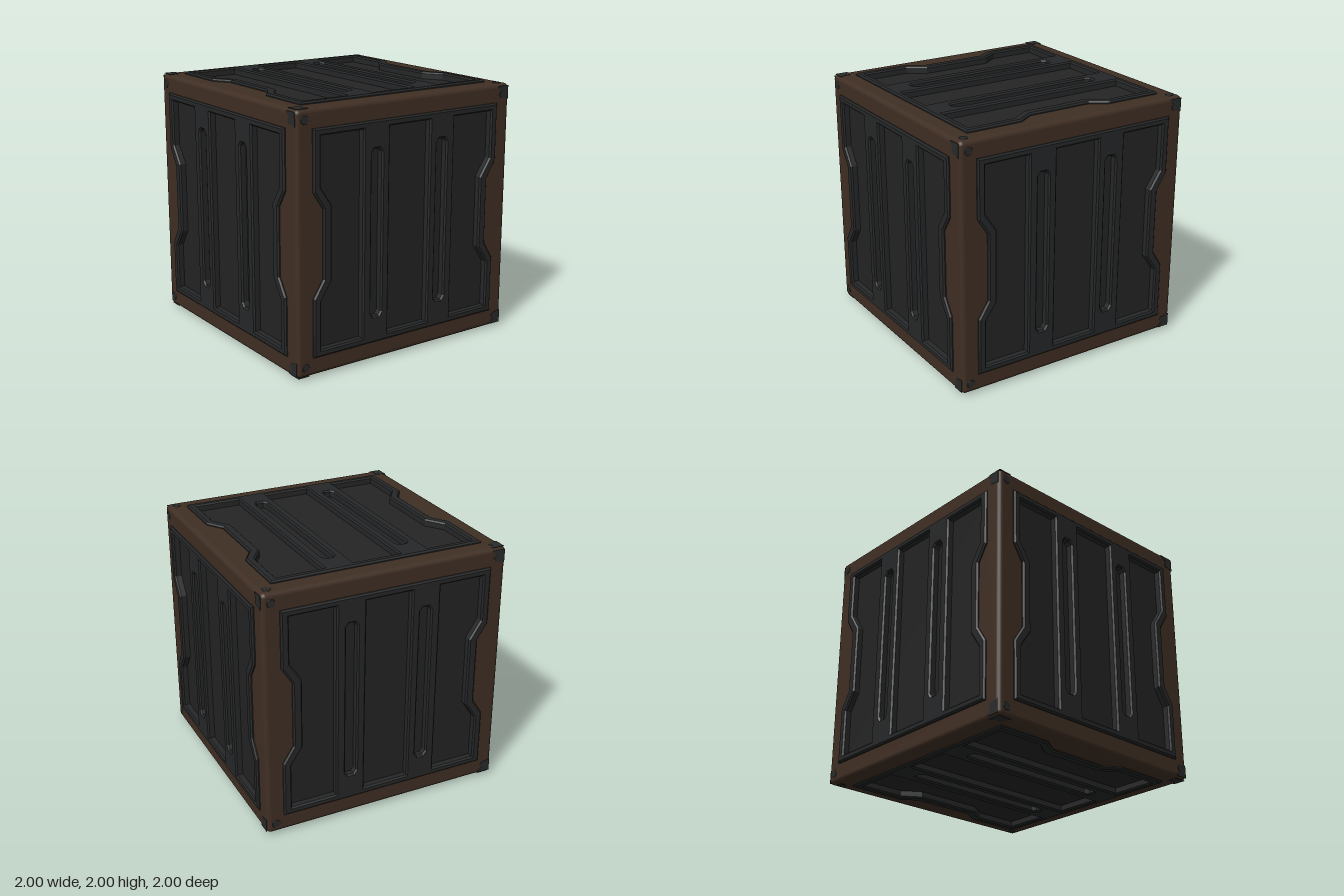
import * as THREE from 'three';

const paint = (name, color) => {
  const m = new THREE.MeshStandardMaterial({ color });
  m.name = name;
  return m;
};
const brown = paint('brown frame', 0x402f24);
const dark = paint('dark panel', 0x242424);
const rimGrey = paint('dark rim', 0x262728);
const steel = paint('worn steel', 0x292a2a);

const EDGE = 0.945; // centre line of the rounded edges
const ROUND = 0.035; // edge radius

const points = list => list.map(([x, y]) => new THREE.Vector2(x, y));

// square outline with an inward step in the middle of both sides
const outline = points([
  [-0.848, -0.84], [0.848, -0.84], [0.848, -0.39], [0.765, -0.26], [0.765, 0.26], [0.848, 0.39],
  [0.848, 0.84], [-0.848, 0.84], [-0.848, 0.39], [-0.765, 0.26], [-0.765, -0.26], [-0.848, -0.39],
]);

// side recess follows the stepped outline; s mirrors it
const sideRecess = s => points([
  [0.42, -0.785], [0.785, -0.785], [0.785, -0.42], [0.692, -0.28], [0.692, 0.28], [0.785, 0.42],
  [0.785, 0.785], [0.42, 0.785],
].map(([x, y]) => [x * s, y]));

const middleRecess = points([[-0.185, -0.785], [0.185, -0.785], [0.185, 0.785], [-0.185, 0.785]]);

// long slot with clipped ends
const slot = cx => points([
  [-0.025, -0.635], [0.025, -0.635], [0.045, -0.605], [0.045, 0.605],
  [0.025, 0.635], [-0.025, 0.635], [-0.045, 0.605], [-0.045, -0.605],
].map(([x, y]) => [x + cx, y]));

function add(parent, name, geometry, material, x = 0, y = 0, z = 0) {
  const mesh = new THREE.Mesh(geometry, material);
  mesh.name = name;
  mesh.position.set(x, y, z);
  parent.add(mesh);
  return mesh;
}

function makeFace() {
  const face = new THREE.Group();

  // brown border plate with a stepped opening
  const border = new THREE.Shape(points([[-EDGE, -EDGE], [EDGE, -EDGE], [EDGE, EDGE], [-EDGE, EDGE]]));
  border.holes.push(new THREE.Path(outline));
  add(face, 'border', new THREE.ExtrudeGeometry(border, { depth: ROUND, bevelEnabled: false }), brown, 0, 0, EDGE);

  // raised rim and ribs, with chamfered edges around the recesses
  const rim = new THREE.Shape(outline);
  for (const hole of [sideRecess(-1), middleRecess, sideRecess(1), slot(-0.3), slot(0.3)]) {
    rim.holes.push(new THREE.Path(hole));
  }
  const bevel = 0.012;
  add(face, 'rimAndRibs', new THREE.ExtrudeGeometry(rim, {
    depth: 1 - EDGE - bevel, bevelThickness: bevel, bevelSize: bevel, bevelOffset: -bevel, bevelSegments: 1,
  }), rimGrey, 0, 0, EDGE);

  // rivets on one side, worn corner plates on the other
  const wear = new THREE.Shape(points([
    [0.965, 0.965], [0.87, 0.965], [0.865, 0.95], [0.895, 0.925], [0.875, 0.9],
    [0.89, 0.875], [0.925, 0.87], [0.965, 0.86],
  ]));
  const wearGeometry = new THREE.ExtrudeGeometry(wear, { depth: 0.004, bevelEnabled: false });
  for (const s of [1, -1]) {
    const rivet = new THREE.CylinderGeometry(0.03, 0.034, 0.006, 16);
    rivet.rotateX(Math.PI / 2);
    add(face, 'rivet', rivet, steel, -0.91, s * 0.905, EDGE + ROUND);
    const plate = add(face, 'cornerWear', wearGeometry, steel, 0, 0, EDGE + ROUND - 0.001);
    if (s < 0) { // turn the plate over into the lower corner
      plate.rotation.x = Math.PI;
      plate.position.z += 0.004;
    }
  }
  return face;
}

export function createModel() {
  const model = new THREE.Group();
  model.name = 'crate';
  const body = new THREE.Group();
  body.name = 'body';
  body.position.y = 1;
  model.add(body);

  // inner box is the floor of every recess
  add(body, 'panelCore', new THREE.BoxGeometry(EDGE * 2, EDGE * 2, EDGE * 2), dark);

  // four walls around the upright axis
  ['front', 'leftSide', 'back', 'rightSide'].forEach((name, i) => {
    const face = makeFace();
    face.name = name;
    face.rotation.y = i * Math.PI / 2;
    body.add(face);
  });

  // lid and base have ribs running along x
  for (const s of [1, -1]) {
    const face = makeFace();
    face.name = s > 0 ? 'lid' : 'base';
    const basis = new THREE.Matrix4().makeBasis(
      new THREE.Vector3(0, 0, 1), new THREE.Vector3(s, 0, 0), new THREE.Vector3(0, s, 0));
    face.quaternion.setFromRotationMatrix(basis);
    body.add(face);
  }

  // rounded frame edges and corners
  const edge = new THREE.CylinderGeometry(ROUND, ROUND, EDGE * 2, 16, 1, true);
  const corner = new THREE.SphereGeometry(ROUND, 16, 12);
  for (const a of [-EDGE, EDGE]) {
    for (const b of [-EDGE, EDGE]) {
      add(body, 'uprightEdge', edge, brown, a, 0, b);
      add(body, 'crossEdge', edge, brown, 0, a, b).rotation.z = Math.PI / 2;
      add(body, 'depthEdge', edge, brown, a, b, 0).rotation.x = Math.PI / 2;
      for (const c of [-EDGE, EDGE]) add(body, 'corner', corner, brown, a, b, c);
    }
  }
  return model;
}
